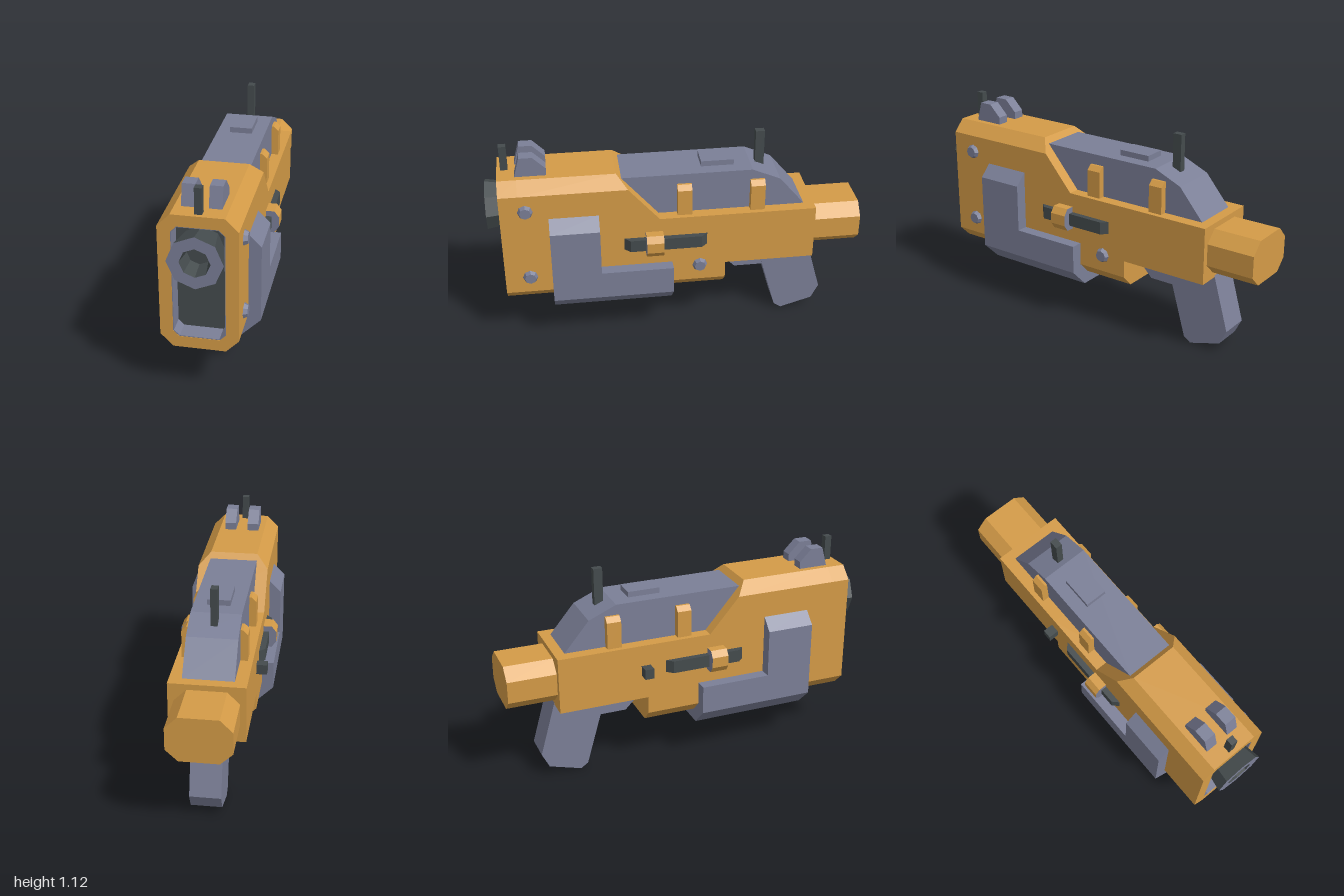
import * as THREE from 'three';

const flat = (name, color) => {
  const m = new THREE.MeshStandardMaterial({ color, flatShading: true });
  m.name = name;
  return m;
};

export function createModel() {
  const orange = flat('orange', 0xd49b47);
  const grey = flat('blueGrey', 0x7b7f97);
  const dark = flat('charcoal', 0x444b4d);
  const model = new THREE.Group();

  const add = (name, geometry, material) => {
    const mesh = new THREE.Mesh(geometry, material);
    mesh.name = name;
    model.add(mesh);
    return mesh;
  };
  const outline = (pts) => new THREE.Shape(pts.map(([a, b]) => new THREE.Vector2(a, b)));
  // half section on +x, listed bottom to top, mirrored into a closed section
  const mirrored = (half) => [...half, ...half.map(([x, y]) => [-x, y]).reverse()];
  // section in (x, y), running along z
  const alongZ = (pts, z0, z1, hole) => {
    const shape = outline(pts);
    if (hole) shape.holes.push(outline(hole));
    return new THREE.ExtrudeGeometry(shape, { depth: z1 - z0, bevelEnabled: false }).translate(0, 0, z0);
  };
  // side profile in (z, y), running along x
  const alongX = (pts, x0, x1) =>
    new THREE.ExtrudeGeometry(outline(pts), { depth: x1 - x0, bevelEnabled: false })
      .rotateY(-Math.PI / 2).translate(x1, 0, 0);
  const box = (x0, x1, y0, y1, z0, z1) =>
    new THREE.BoxGeometry(x1 - x0, y1 - y0, z1 - z0)
      .translate((x0 + x1) / 2, (y0 + y1) / 2, (z0 + z1) / 2);

  // Main body
  const W = 0.194;
  const opening = mirrored([[0.1, 0.325], [0.13, 0.355], [0.13, 0.895], [0.1, 0.925]]);
  const liner = mirrored([[0.098, 0.329], [0.126, 0.357], [0.126, 0.893], [0.098, 0.921]]);
  const section = mirrored([[0.13, 0.265], [W, 0.33], [W, 0.92], [0.13, 0.985]]);
  add('frontFrame', alongZ(section, 0.83, 0.93, opening), orange);
  add('lowerBody', alongZ(mirrored([[0.13, 0.265], [W, 0.33], [W, 0.73]]), -0.255, 0.83), orange);
  add('rearBody', box(-W, W, 0.425, 0.73, -0.74, -0.255), orange);

  // Upper body, its back end sheared into a slope
  const upper = alongZ(mirrored([[W, 0.73], [W, 0.92], [0.13, 0.985]]), 0.1, 0.83);
  const p = upper.attributes.position;
  for (let i = 0; i < p.count; i++) {
    if (p.getZ(i) < 0.5) p.setZ(i, 0.1 + (p.getY(i) - 0.73) * 0.863);
  }
  upper.computeVertexNormals();
  add('upperBody', upper, orange);

  // Front opening
  add('openingLiner', alongZ(opening, 0.83, 0.928, liner), grey);
  add('openingFloor', alongZ(opening, 0.826, 0.834), dark);

  // Eight-sided muzzle
  const turned = (name, pts, material) => add(name,
    new THREE.LatheGeometry(pts.map(([r, z]) => new THREE.Vector2(r, z)), 8)
      .rotateX(Math.PI / 2).translate(0, 0.78, 0), material);
  turned('muzzleSide', [[0.105, 0.82], [0.137, 1]], dark);
  turned('muzzleRim', [[0.137, 1], [0.075, 1]], grey);
  turned('muzzleBore', [[0.075, 1], [0.06, 0.9], [0, 0.9]], dark);

  // Rear stub
  add('rearStub', alongZ(mirrored([[0.1, 0.46], [0.163, 0.52], [0.163, 0.637], [0.1, 0.7]]), -1, -0.74), orange);

  // Top housing, plate and sights
  add('topHousing', alongX([[0.1, 0.7], [0.1, 0.73], [0.293, 0.955], [-0.4, 0.955],
    [-0.55, 0.89], [-0.685, 0.73], [-0.685, 0.7]], -0.13, 0.13), grey);
  add('topPlate', box(-0.06, 0.06, 0.95, 0.985, -0.31, -0.135), grey);
  add('rearSight', box(-0.018, 0.018, 0.9, 1.12, -0.48, -0.432), dark);
  add('frontSight', box(-0.018, 0.018, 0.98, 1.12, 0.872, 0.91), dark);

  // Wrap-around fore guard, tall at the front and low behind
  const guardBase = [[0.157, 0.2], [0.258, 0.3]];
  add('guardFront', alongZ(mirrored([...guardBase, [0.258, 0.715], [0.193, 0.78]]), 0.42, 0.68), grey);
  add('guardRear', alongZ(mirrored([...guardBase, [0.258, 0.455]]), 0.035, 0.42), grey);

  // Parts repeated on both sides
  for (const s of [1, -1]) {
    const side = (pts) => pts.map(([x, y]) => [s * x, y]);
    const x0 = s > 0 ? 0.034 : -0.098;
    add('sightEar', alongX([[0.84, 0.98], [0.81, 1.09], [0.74, 1.09], [0.675, 1.025], [0.675, 0.98]],
      x0, x0 + 0.064), grey);
    for (const z of [-0.075, -0.465]) {
      add('housingLug', alongZ(side([[0.12, 0.72], [0.168, 0.72], [0.168, 0.875], [0.143, 0.9], [0.12, 0.9]]),
        z, z + 0.077), orange);
    }
    // Slide rail with tapered ends
    const rail = new THREE.ExtrudeGeometry(
      outline(side([[0.19, -0.295], [0.225, -0.26], [0.225, 0.12], [0.19, 0.157]])),
      { depth: 0.068, bevelEnabled: false }).rotateX(-Math.PI / 2).translate(0, 0.556, 0);
    add('slideRail', rail, dark);
    add('railClamp', alongZ(side([[0.19, 0.53], [0.24, 0.53], [0.265, 0.565], [0.265, 0.622],
      [0.24, 0.655], [0.19, 0.655]]), 0.085, 0.177), [grey, orange]);
  }
  add('sidePeg', box(-0.25, -0.19, 0.56, 0.615, -0.29, -0.24), dark);

  // Bolts on one side only
  for (const [z, y] of [[0.797, 0.828], [0.797, 0.424], [-0.115, 0.424]]) {
    add('bolt', new THREE.CylinderGeometry(0.03, 0.045, 0.03, 8)
      .rotateZ(-Math.PI / 2).translate(0.2, y, z), grey);
  }

  // Grip and trigger guard
  add('grip', alongX([[-0.44, 0.48], [-0.57, 0.03], [-0.61, 0.003], [-0.785, 0.055],
    [-0.825, 0.135], [-0.727, 0.48]], -0.081, 0.081), grey);
  add('triggerGuard', alongX([[-0.29, 0.43], [-0.29, 0.34], [-0.335, 0.295], [-0.53, 0.295],
    [-0.51, 0.36], [-0.355, 0.36], [-0.355, 0.43]], -0.05, 0.05), grey);

  return model;
}
